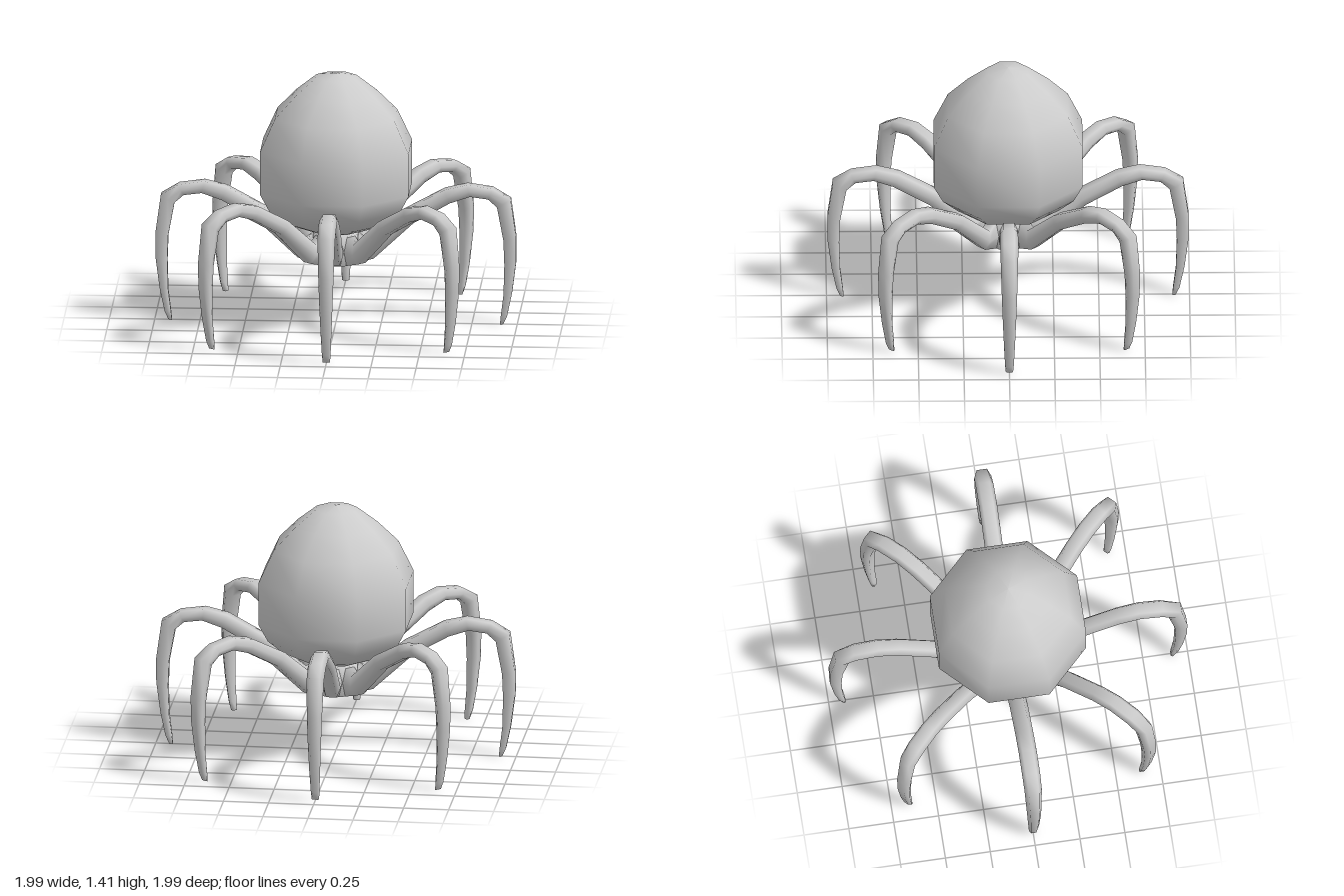
import * as THREE from 'three';

const material = new THREE.MeshStandardMaterial({ color: 0xcccccc, side: THREE.DoubleSide });

// Eight-sided lathe with flats facing the axes; radii are measured to the flats
function octLathe(name, profile) {
  const pts = profile.map(([r, y]) => new THREE.Vector2(r / Math.cos(Math.PI / 8), y));
  const mesh = new THREE.Mesh(new THREE.LatheGeometry(pts, 8, Math.PI / 8), material);
  mesh.name = name;
  return mesh;
}

// Leg stations: [under r, under y, upper r, upper y, half width]
const legStations = [
  [0.06, 0.34, 0.06, 0.50, 0.025],
  [0.12, 0.345, 0.12, 0.51, 0.05],
  [0.21, 0.37, 0.17, 0.47, 0.05],
  [0.43, 0.575, 0.38, 0.645, 0.05],
  [0.63, 0.69, 0.60, 0.765, 0.05],
  [0.74, 0.728, 0.725, 0.795, 0.05],
  [0.84, 0.715, 0.865, 0.775, 0.05],
  [0.89, 0.67, 0.965, 0.715, 0.048],
  [0.925, 0.48, 0.995, 0.50, 0.042],
  [0.93, 0.34, 0.995, 0.36, 0.037],
  [0.925, 0.17, 0.972, 0.18, 0.03],
  [0.91, 0.05, 0.945, 0.05, 0.024],
  [0.905, 0.0, 0.925, 0.005, 0.02],
];

// Hexagonal cross-sections joined along the leg, closed at the tip
function legGeometry() {
  const pos = [], idx = [], n = 6;
  for (const [ur, uy, or, oy, w] of legStations) {
    const section = [[0, -0.6], [0.5, -1], [1, -0.6], [1, 0.6], [0.5, 1], [0, 0.6]];
    for (const [t, s] of section) pos.push(ur + (or - ur) * t, uy + (oy - uy) * t, s * w);
  }
  for (let i = 0; i < legStations.length - 1; i++) {
    for (let j = 0; j < n; j++) {
      const a = i * n + j, b = i * n + (j + 1) % n;
      idx.push(a, b, a + n, b, b + n, a + n);
    }
  }
  const tip = (legStations.length - 1) * n;
  for (let j = 1; j < n - 1; j++) idx.push(tip, tip + j, tip + j + 1);
  const g = new THREE.BufferGeometry();
  g.setAttribute('position', new THREE.Float32BufferAttribute(pos, 3));
  g.setIndex(idx);
  g.computeVertexNormals();
  return g;
}

export function createModel() {
  const model = new THREE.Group();
  model.name = 'eggOnLegs';

  // Egg-shaped body
  model.add(octLathe('body', [
    [0, 0.51], [0.16, 0.535], [0.28, 0.585], [0.36, 0.66], [0.41, 0.76],
    [0.41, 1.0], [0.33, 1.18], [0.22, 1.30], [0.11, 1.395], [0, 1.415],
  ]));

  // Hub with a small recess underneath
  model.add(octLathe('hub', [
    [0, 0.37], [0.05, 0.37], [0.06, 0.34], [0.12, 0.345], [0.125, 0.515], [0, 0.515],
  ]));

  // Eight arched legs around the hub
  const geometry = legGeometry();
  for (let i = 0; i < 8; i++) {
    const leg = new THREE.Mesh(geometry, material);
    leg.name = `leg${i + 1}`;
    leg.rotation.y = i * Math.PI / 4;
    model.add(leg);
  }
  return model;
}
